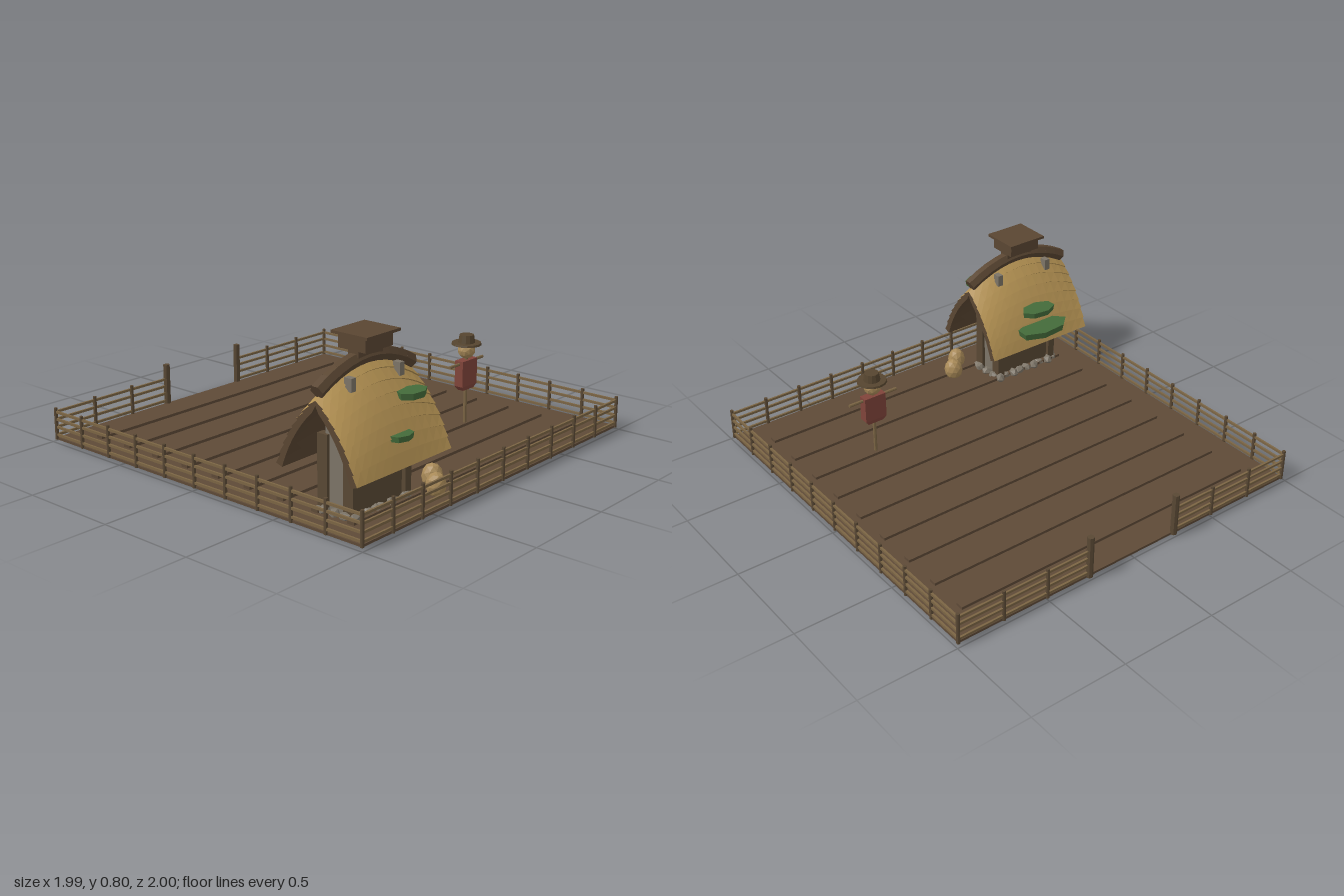
import * as THREE from 'three';

const mat = (name, color, extra = {}) => {
  const m = new THREE.MeshStandardMaterial({ color, flatShading: true, ...extra });
  m.name = name;
  return m;
};

export function createModel() {
  const M = {
    soil: mat('soil', 0x5e4a37),
    wood: mat('dark wood', 0x594834),
    rail: mat('rail wood', 0x7b6544),
    thatch: mat('thatch', 0xb39152, { side: THREE.DoubleSide }),
    timber: mat('roof timber', 0x5a4632, { side: THREE.DoubleSide }),
    stone: mat('stone', 0x7c7467),
    straw: mat('straw', 0xa98a58),
    leaf: mat('leaf', 0x446b3a),
    cloth: mat('red cloth', 0x80443a),
    hat: mat('hat', 0x56452f),
  };
  const model = new THREE.Group();
  model.name = 'farmField';

  const group = (name, parent = model) => {
    const g = new THREE.Group();
    g.name = name;
    parent.add(g);
    return g;
  };
  const add = (parent, name, geo, material, x, y, z) => {
    const m = new THREE.Mesh(geo, material);
    m.name = name;
    m.position.set(x, y, z);
    parent.add(m);
    return m;
  };
  // Box given by its limits
  const box = (parent, name, material, x0, x1, y0, y1, z0, z1) =>
    add(parent, name, new THREE.BoxGeometry(x1 - x0, y1 - y0, z1 - z0), material,
      (x0 + x1) / 2, (y0 + y1) / 2, (z0 + z1) / 2);
  // Faceted lump for stones, bundles and leaves
  const lump = (parent, name, material, x, y, z, rx, ry, rz, turn = 0, detail = 1) => {
    const m = add(parent, name, new THREE.IcosahedronGeometry(1, detail), material, x, y, z);
    m.scale.set(rx, ry, rz);
    m.rotation.y = turn;
    return m;
  };

  // Field with nine ridges
  const field = group('field');
  box(field, 'soil', M.soil, -0.985, 0.985, 0.024, 0.036, -0.985, 0.985);
  for (let i = -4; i <= 4; i++) {
    const z = i * 0.2035;
    box(field, 'ridge', M.soil, -0.86, 0.855, 0.03, 0.05, z - 0.02, z + 0.02);
  }

  // Fence: posts and four rails a side, open at the back
  const fence = group('fence');
  const E = 0.985;
  const post = (x, z, h = 0.188, r = 0.009) =>
    add(fence, 'post', new THREE.CylinderGeometry(r, r, h - 0.025, 8), M.wood, x, 0.025 + (h - 0.025) / 2, z);
  const rails = (x0, x1, z0, z1) => {
    for (const y of [0.05, 0.09, 0.13, 0.168]) {
      box(fence, 'rail', M.rail, x0 - 0.005, x1 + 0.005, y - 0.006, y + 0.006, z0 - 0.005, z1 + 0.005);
    }
  };
  rails(-E, E, E, E);
  for (const s of [-1, 1]) {
    rails(s * E, s * E, -E, E);
    rails(s < 0 ? -E : 0.258, s < 0 ? -0.258 : E, -E, -E);
    for (let i = 0; i < 10; i++) post(s * E, E - i * 0.197);
    for (const x of [0.5, 0.742, E]) post(s * x, -E);
    post(s * 0.258, -E, 0.247, 0.017);
  }
  for (let i = 1; i < 10; i++) post(-E + i * 0.197, E);

  // Hut
  const hut = group('hut');
  const CX = -0.63, CZ = 0.698, HALF = 0.317;
  box(hut, 'wall', M.wood, CX - 0.17, CX + 0.17, 0.03, 0.38, CZ - 0.08, CZ + 0.08);
  box(hut, 'endWall', M.stone, CX - 0.18, CX + 0.18, 0.03, 0.55, CZ - 0.066, CZ + 0.066);
  for (const sx of [-1, 1]) for (const sz of [-1, 1]) {
    const x = CX + sx * 0.175, z = CZ + sz * 0.073;
    box(hut, 'cornerPost', M.wood, x - 0.02, x + 0.02, 0.03, 0.385, z - 0.028, z + 0.028);
  }

  // Pointed roof, its ridge bowed along x, with overlapping courses
  const ridgeY = s => 0.575 + 0.11 * (1 - s * s);
  const roofPoint = (s, t, lift, side) => {
    const rise = ridgeY(s) - 0.25, u = 1 - t;
    const d = 0.218 * u * u + 0.3 * t * u;
    const y = 0.25 + rise * (1.24 * t * u + t * t);
    const dd = -0.436 * u + 0.3 * (1 - 2 * t);
    const dy = rise * (1.24 * (1 - 2 * t) + 2 * t);
    const l = Math.hypot(dd, dy);
    return [CX + s * HALF, y - (dd / l) * lift, CZ + side * Math.max(0, d + (dy / l) * lift)];
  };
  const steps = [];
  const COURSES = 8, STATIONS = 12;
  for (let k = 0; k < COURSES; k++) steps.push([k / COURSES, 0.008], [(k + 1) / COURSES, 0]);
  const path = [
    ...steps.map(([t, l]) => [t, l, 1]),
    ...[...steps].reverse().map(([t, l]) => [t, l, -1]),
  ];
  const outer = (i, j) => roofPoint(-1 + 2 * i / STATIONS, path[j][0], path[j][1], path[j][2]);
  const inner = (i, j) => roofPoint(-1 + 2 * i / STATIONS, path[j][0], -0.028, path[j][2]);
  const surface = fill => {
    const p = [];
    fill((a, b, c, d) => p.push(...a, ...b, ...c, ...a, ...c, ...d));
    const g = new THREE.BufferGeometry();
    g.setAttribute('position', new THREE.Float32BufferAttribute(p, 3));
    g.computeVertexNormals();
    return g;
  };
  const thatch = surface(quad => {
    for (let i = 0; i < STATIONS; i++) for (let j = 0; j < path.length - 1; j++)
      quad(outer(i, j), outer(i + 1, j), outer(i + 1, j + 1), outer(i, j + 1));
  });
  const lining = surface(quad => {
    const n = path.length - 1, N = STATIONS;
    for (let i = 0; i < N; i++) {
      for (let j = 0; j < n; j++)
        quad(inner(i, j), inner(i, j + 1), inner(i + 1, j + 1), inner(i + 1, j));
      quad(outer(i, 0), inner(i, 0), inner(i + 1, 0), outer(i + 1, 0));
      quad(outer(i, n), outer(i + 1, n), inner(i + 1, n), inner(i, n));
    }
    for (let j = 0; j < n; j++) {
      quad(outer(N, j), inner(N, j), inner(N, j + 1), outer(N, j + 1));
      quad(outer(0, j), outer(0, j + 1), inner(0, j + 1), inner(0, j));
    }
  });
  add(hut, 'thatchRoof', thatch, M.thatch, 0, 0, 0);
  add(hut, 'roofLining', lining, M.timber, 0, 0, 0);

  // Bowed ridge beam in short hexagonal lengths
  const beam = group('ridgeBeam', hut);
  const beamAt = s => new THREE.Vector3(CX + s * 0.305, 0.612 + 0.09 * (1 - s * s), CZ);
  for (let i = 0; i < 10; i++) {
    const a = beamAt(-1 + i * 0.2), b = beamAt(-0.8 + i * 0.2);
    const m = add(beam, 'beamLength', new THREE.CylinderGeometry(0.034, 0.034, a.distanceTo(b) + 0.006, 6),
      M.timber, (a.x + b.x) / 2, (a.y + b.y) / 2, CZ);
    m.rotation.z = Math.atan2(b.y - a.y, b.x - a.x) - Math.PI / 2;
  }

  // Grey clamps over the ridge
  for (const x of [-0.79, -0.472]) for (const s of [-1, 1]) {
    box(hut, 'clamp', M.stone, x - 0.015, x + 0.015, 0.59, 0.65, CZ + s * 0.052 - 0.02, CZ + s * 0.052 + 0.02);
  }

  // Roof vent
  box(hut, 'ventNeck', M.timber, -0.71, -0.55, 0.69, 0.75, CZ - 0.028, CZ + 0.028);
  box(hut, 'ventBox', M.timber, -0.72, -0.54, 0.74, 0.8, CZ - 0.075, CZ + 0.075);
  box(hut, 'ventLid', M.timber, -0.74, -0.52, 0.803, 0.816, CZ - 0.1, CZ + 0.1);

  // Leafy pads on the roof
  const leaf = (...a) => {
    const m = add(hut, 'leafPad', new THREE.CylinderGeometry(0.8, 0.75, 1, 7), M.leaf, a[0], a[1], a[2]);
    m.geometry.rotateY(a[6]);
    m.scale.set(a[3] * 1.27, a[4], a[5] * 1.27);
  };
  leaf(-0.488, 0.53, 0.84, 0.083, 0.03, 0.052, 0.3);
  leaf(-0.617, 0.38, 0.885, 0.066, 0.026, 0.045, 0.9);
  leaf(-0.635, 0.35, 0.465, 0.155, 0.035, 0.075, 0.2);
  leaf(-0.62, 0.455, 0.49, 0.1, 0.03, 0.058, 0.7);

  // Stones around the foot of the hut
  const stones = group('footingStones', hut);
  for (let i = 0; i < 9; i++) for (const s of [-1, 1]) {
    const w = Math.sin(i * 2.7 + s);
    lump(stones, 'stone', M.stone, CX - 0.19 + i * 0.0475, 0.043 + 0.005 * w, CZ + s * (0.1 + 0.012 * w),
      0.032, 0.026 + 0.004 * w, 0.025, i * 1.3, 0);
  }
  for (const s of [-1, 1]) for (let i = -1; i <= 1; i++) {
    lump(stones, 'stone', M.stone, CX + s * 0.198, 0.043, CZ + i * 0.06, 0.025, 0.028, 0.032, i + s, 0);
  }

  // Straw bundles beside the hut
  lump(model, 'strawBundle', M.straw, -0.345, 0.075, 0.868, 0.047, 0.062, 0.047);
  lump(model, 'strawBundle', M.straw, -0.265, 0.075, 0.785, 0.047, 0.062, 0.05, 0.8);

  // Scarecrow
  const crow = group('scarecrow');
  crow.position.set(0.49, 0, 0.41);
  add(crow, 'pole', new THREE.CylinderGeometry(0.009, 0.009, 0.37, 8), M.rail, 0, 0.21, 0);
  add(crow, 'arms', new THREE.CylinderGeometry(0.008, 0.008, 0.275, 8), M.rail, 0, 0.366, 0).rotation.z = Math.PI / 2;
  box(crow, 'shirt', M.cloth, -0.06, 0.06, 0.25, 0.382, -0.024, 0.024);
  const hem = add(crow, 'shirtHem', new THREE.CylinderGeometry(0.085, 0.06, 0.022, 4, 1, false, Math.PI / 4), M.cloth, 0, 0.239, 0);
  hem.scale.z = 0.4;
  lump(crow, 'head', M.straw, 0, 0.43, 0, 0.045, 0.045, 0.045);
  add(crow, 'hatBrim', new THREE.CylinderGeometry(0.073, 0.076, 0.01, 14), M.hat, 0, 0.464, 0);
  add(crow, 'hatCrown', new THREE.CylinderGeometry(0.036, 0.043, 0.042, 12), M.hat, 0, 0.488, 0);

  return model;
}
